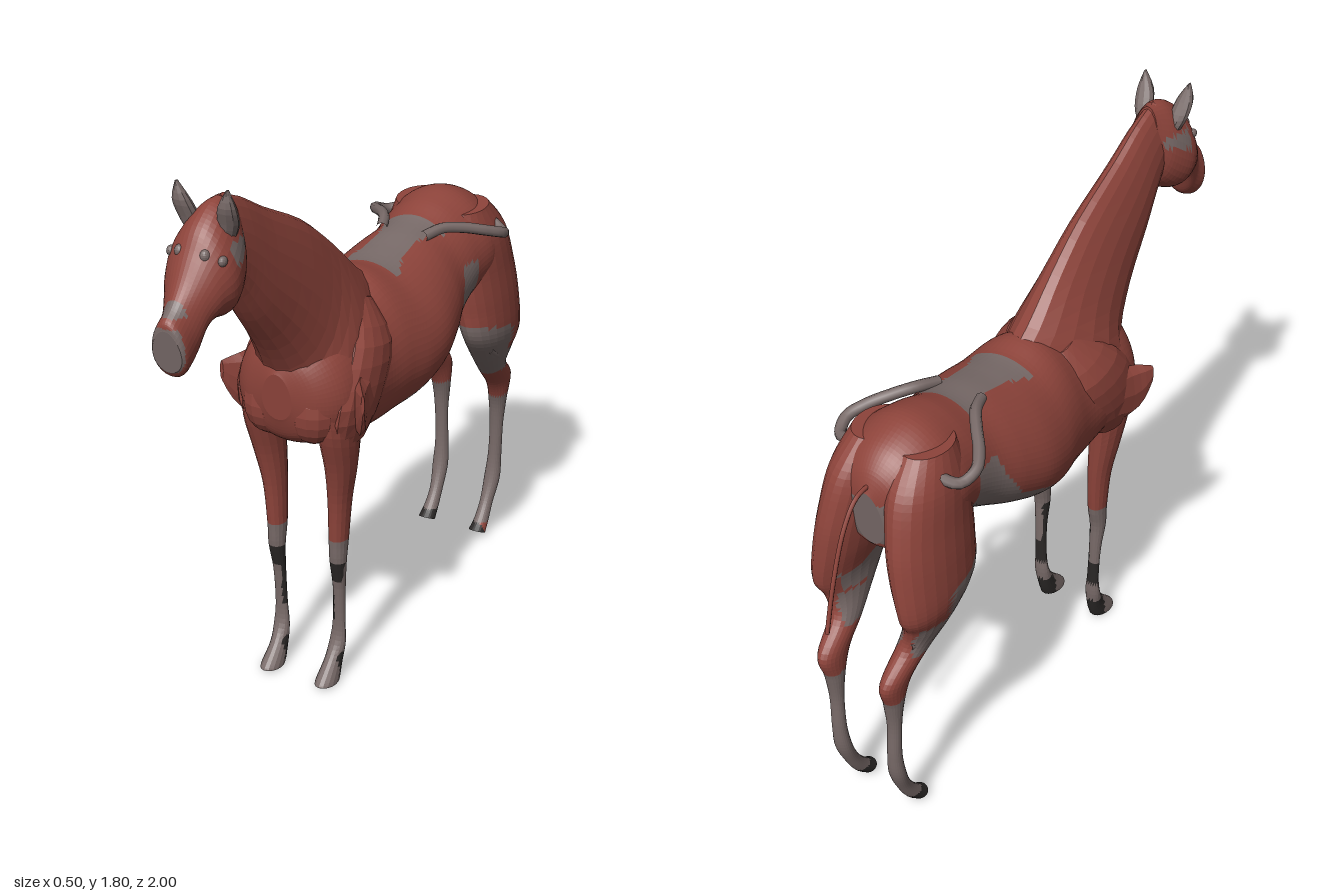
import * as THREE from 'three';

const red = new THREE.MeshStandardMaterial({ color: 0x8e443b });
red.name = 'muscle red';
const grey = new THREE.MeshStandardMaterial({ color: 0x786a68 });
grey.name = 'tendon grey';
const dark = new THREE.MeshStandardMaterial({ color: 0x2a2726 });
dark.name = 'hoof dark';
const palette = [red, grey, dark];
const RED = 0, GREY = 1, DARK = 2;

// Smooth in-between rows for a list of cross-sections
function refine(rows, steps) {
  const out = [];
  const at = i => rows[Math.min(Math.max(i, 0), rows.length - 1)];
  for (let i = 0; i < rows.length - 1; i++) {
    const [a, b, c, d] = [at(i - 1), at(i), at(i + 1), at(i + 2)];
    for (let s = 0; s < steps; s++) {
      const t = s / steps;
      out.push(b.map((v, k) => v + 0.5 * t * (c[k] - a[k] + t * (2 * a[k] - 5 * v + 4 * c[k] - d[k]
        + t * (3 * (v - c[k]) + d[k] - a[k])))));
    }
  }
  out.push(at(rows.length - 1));
  return out;
}

// Faceted skin over oval sections. Row: [z, y of one edge, z, y of the other edge, half width, x centre].
// egg > 0 narrows the first edge; paint(x, y, z) picks a palette index for each face.
function loft(name, rows, { side = 1, steps = 3, sides = 20, egg = 0, paint = () => RED } = {}) {
  const rings = refine(rows.map(r => [...r, 0].slice(0, 6)), steps).map(([zt, yt, zb, yb, w, x]) => {
    const ring = [];
    for (let j = 0; j < sides; j++) {
      const a = (j / sides) * Math.PI * 2, s = Math.sin(a);
      ring.push(new THREE.Vector3(
        side * x + w * Math.cos(a) * (1 - egg * s),
        (yt + yb) / 2 + s * (yt - yb) / 2,
        (zt + zb) / 2 + s * (zt - zb) / 2));
    }
    return ring;
  });
  const faces = [];
  const centre = ring => ring.reduce((m, p) => m.add(p), new THREE.Vector3()).divideScalar(sides);
  const first = rings[0], last = rings[rings.length - 1];
  const c0 = centre(first), c1 = centre(last);
  for (let j = 0; j < sides; j++) {
    const k = (j + 1) % sides;
    faces.push([c0, first[k], first[j]], [c1, last[j], last[k]]);
    for (let i = 0; i < rings.length - 1; i++) {
      const [a, b, c, d] = [rings[i][j], rings[i][k], rings[i + 1][k], rings[i + 1][j]];
      faces.push([a, b, c], [a, c, d]);
    }
  }
  // Turn the skin outward whichever way the sections run
  let volume = 0;
  const cross = new THREE.Vector3();
  for (const [a, b, c] of faces) volume += a.dot(cross.crossVectors(b, c));
  const buckets = [[], [], []];
  for (const [a, b, c] of faces) {
    const m = a.clone().add(b).add(c).divideScalar(3);
    const tri = volume > 0 ? [a, b, c] : [a, c, b];
    for (const p of tri) buckets[paint(m.x, m.y, m.z)].push(p.x, p.y, p.z);
  }
  const geo = new THREE.BufferGeometry();
  geo.setAttribute('position', new THREE.Float32BufferAttribute(buckets.flat(), 3));
  let start = 0;
  buckets.forEach((b, i) => {
    if (b.length) geo.addGroup(start, b.length / 3, i);
    start += b.length / 3;
  });
  geo.computeVertexNormals();
  const mesh = new THREE.Mesh(geo, palette);
  mesh.name = name;
  return mesh;
}

function tube(name, points, radius, material, side = 1) {
  const curve = new THREE.CatmullRomCurve3(points.map(([x, y, z]) => new THREE.Vector3(side * x, y, z)));
  const mesh = new THREE.Mesh(new THREE.TubeGeometry(curve, 24, radius, 8), material);
  mesh.name = name;
  return mesh;
}

function blob(name, pos, size, material) {
  const geo = new THREE.SphereGeometry(1, 14, 10).scale(...size).toNonIndexed();
  geo.computeVertexNormals();
  const mesh = new THREE.Mesh(geo, material);
  mesh.position.set(...pos);
  mesh.name = name;
  return mesh;
}

export function createModel() {
  const horse = new THREE.Group();
  horse.name = 'horse';

  // Barrel with grey belly, grey loin band and dark breastbone
  horse.add(loft('torso', [
    [.45, 1.10, .44, .95, .05], [.42, 1.17, .41, .88, .13], [.35, 1.22, .35, .84, .185],
    [.25, 1.25, .25, .81, .20], [.10, 1.25, .10, .78, .20], [0, 1.275, 0, .78, .215],
    [-.10, 1.26, -.10, .79, .236], [-.20, 1.268, -.20, .82, .242], [-.30, 1.285, -.30, .86, .222],
    [-.40, 1.30, -.40, .91, .193], [-.50, 1.333, -.50, .96, .188], [-.60, 1.345, -.60, .98, .195],
    [-.70, 1.31, -.70, .98, .175], [-.76, 1.255, -.75, .98, .125], [-.79, 1.19, -.77, 1.0, .05],
  ], {
    steps: 7, sides: 72, egg: .14,
    paint: (x, y, z) => {
      const t = -z, w = Math.abs(x);
      const flank = Math.min(1.16, .845 + .4 * t + 9 * Math.max(0, t - .28) ** 2);
      if (z > .1 && z < .32 && w < .035 && y < .86) return DARK;
      if (t > 0 && t < .5 && y < flank) return GREY;
      if (t > .1 && t < .41 && y > 1.1 && w < .068 + 1.7 * (t - .26) ** 2) return GREY;
      if (t > .765 && y > 1.01 && y < 1.16) return GREY;
      return RED;
    },
  }));

  horse.add(loft('neck', [
    [-.06, 1.25, .38, .90, .16], [.02, 1.30, .425, 1.0, .165], [.15, 1.42, .43, 1.08, .125],
    [.30, 1.535, .50, 1.20, .10], [.50, 1.64, .60, 1.33, .08], [.62, 1.71, .66, 1.42, .068],
    [.72, 1.75, .70, 1.48, .06],
  ], { egg: .3 }));

  // Head with grey lips, nose bridge and patch below the ears
  horse.add(loft('head', [
    [.69, 1.745, .665, 1.56, .045], [.76, 1.74, .70, 1.48, .085], [.83, 1.695, .775, 1.425, .108],
    [.875, 1.63, .84, 1.43, .092], [.92, 1.56, .872, 1.41, .07], [.96, 1.51, .905, 1.343, .055],
    [.995, 1.48, .96, 1.31, .055], [1.0, 1.455, .985, 1.33, .046],
  ], {
    egg: .15, steps: 6, sides: 36,
    paint: (x, y, z) => ((z > .983 && y < 1.462) || (z > .945 && z < .985 && y > 1.485)
      || (y > 1.585 + .35 * (.79 - z) && y < 1.648 && z > .695 && z < .80 && Math.abs(x) > .04)) ? GREY : RED,
  }));

  horse.add(tube('tail', [[0, 1.21, -.76], [0, 1.20, -.83], [0, 1.13, -.89], [0, .98, -.95], [0, .82, -.992]], .007, red));

  for (const side of [1, -1]) {
    const half = new THREE.Group();
    half.name = side > 0 ? 'leftSide' : 'rightSide';
    horse.add(half);

    half.add(loft('ear', [
      [.785, 1.65, .735, 1.65, .022, .052], [.80, 1.70, .745, 1.69, .031, .063],
      [.815, 1.75, .77, 1.745, .027, .072], [.808, 1.80, .795, 1.80, .003, .08],
    ], { side, sides: 10, paint: () => GREY }));

    half.add(blob('browSpot', [side * .04, 1.627, .856], [.015, .018, .016], grey));
    half.add(blob('eye', [side * .082, 1.612, .835], [.012, .015, .016], grey));

    // Shoulder blade, its pointed outer flap and the breast muscle
    half.add(loft('shoulder', [
      [.14, 1.255, .05, 1.22, .02, .09], [.27, 1.15, .05, 1.10, .045, .155],
      [.38, .99, .12, .96, .05, .165], [.36, .86, .20, .85, .045, .14],
    ], { side, sides: 14 }));
    half.add(loft('shoulderFlap', [
      [.18, 1.08, .18, .92, .02, .18], [.29, 1.075, .29, .88, .032, .195],
      [.335, 1.065, .335, .92, .02, .222], [.362, 1.055, .362, .99, .006, .243],
    ], { side, sides: 8, steps: 2 }));
    half.add(blob('breastMuscle', [side * .075, .97, .36], [.085, .11, .078], red));

    // Foreleg with grey cannon, dark tendons on the inner side and dark heel
    half.add(loft('foreleg', [
      [.40, 1.0, .20, 1.0, .05, .13], [.39, .90, .215, .85, .055, .13], [.345, .76, .22, .76, .047, .125],
      [.32, .64, .225, .64, .036, .115], [.31, .50, .235, .50, .03, .11], [.305, .42, .25, .42, .027, .11],
      [.285, .32, .25, .32, .021, .108], [.277, .20, .25, .20, .021, .105], [.285, .13, .25, .12, .027, .103],
      [.32, .075, .262, .05, .028, .10], [.375, .022, .275, .01, .034, .10], [.385, .008, .285, .001, .034, .10],
    ], {
      side, sides: 16, steps: 4,
      paint: (x, y, z) => {
        if (y > .5) return RED;
        if (y < .09 && z < .305) return DARK;
        if (y > .345 && y < .415 && z > .283) return DARK;
        if (y > .2 && y < .42 && side * x < .095) return DARK;
        return y > .17 && y < .25 && z < .265 ? DARK : GREY;
      },
    }));

    // Haunch to hind hoof, with grey stifle, inner gaskin and cannon
    half.add(loft('hindLeg', [
      [-.51, 1.29, -.70, 1.295, .07, .085], [-.48, 1.18, -.785, 1.20, .092, .10], [-.485, 1.06, -.83, 1.06, .09, .12],
      [-.495, .96, -.845, .94, .085, .138], [-.515, .86, -.843, .82, .072, .155], [-.60, .755, -.81, .75, .058, .145],
      [-.70, .655, -.815, .68, .044, .125], [-.77, .58, -.90, .59, .036, .115], [-.81, .50, -.88, .50, .031, .11],
      [-.825, .40, -.866, .40, .024, .108], [-.825, .28, -.868, .28, .024, .105], [-.81, .19, -.86, .19, .028, .103],
      [-.78, .115, -.825, .105, .023, .10], [-.74, .06, -.79, .045, .025, .10], [-.705, .03, -.755, .008, .03, .10],
    ], {
      side, sides: 24, steps: 6,
      paint: (x, y, z) => {
        if (y < .05) return x > .105 && z < -.73 ? RED : DARK;
        if (y < .52) return GREY;
        if (y > .66 && z > (y > .77 ? -.70 : -.80) && y < .90 + .25 * (z + .55)) return GREY;
        return y > .78 && y < .85 && side * x < .105 ? GREY : RED;
      },
    }));
    half.add(tube('stifleTendon',
      [[.19, .80, -.60], [.185, .75, -.67], [.165, .70, -.74], [.145, .70, -.80]], .012, grey, side));

    // Hip bone hooking out from the loin
    half.add(tube('hipBone', [[.075, 1.275, -.33], [.105, 1.285, -.40], [.15, 1.275, -.46], [.20, 1.255, -.52],
      [.228, 1.235, -.575], [.21, 1.215, -.63], [.15, 1.235, -.66]], .018, grey, side));
  }
  return horse;
}
